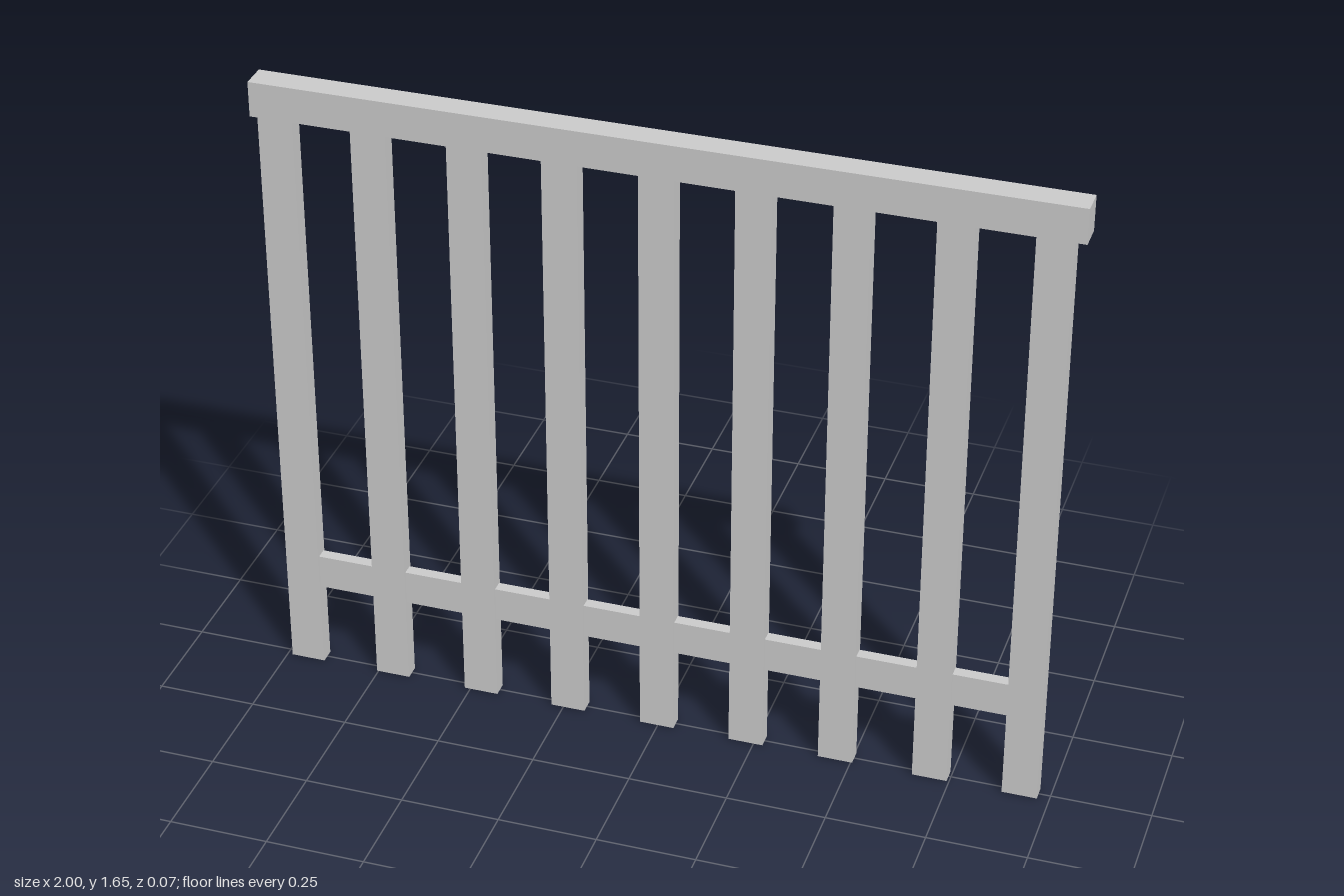
import * as THREE from 'three';

export function createModel() {
  const model = new THREE.Group();
  model.name = 'railing';
  const material = new THREE.MeshStandardMaterial({ color: 0xcccccc, flatShading: true });

  // Box given by its x and y ranges and its depth, centred on z = 0
  function addBar(name, x0, x1, y0, y1, depth) {
    const bar = new THREE.Mesh(new THREE.BoxGeometry(x1 - x0, y1 - y0, depth), material);
    bar.position.set((x0 + x1) / 2, (y0 + y1) / 2, 0);
    bar.name = name;
    model.add(bar);
  }

  // Thick handrail along the top
  addBar('handrail', -1, 1, 1.557, 1.647, 0.068);

  // Thin lower rail, set back from both faces of the balusters
  addBar('lowerRail', -0.943, 0.926, 0.228, 0.319, 0.03);

  // Upright balusters, slightly unevenly spaced
  const centres = [-0.943, -0.71, -0.471, -0.238, -0.003, 0.229, 0.46, 0.7, 0.926];
  centres.forEach((x, i) => addBar(`baluster${i + 1}`, x - 0.044, x + 0.044, 0, 1.557, 0.04));

  return model;
}
